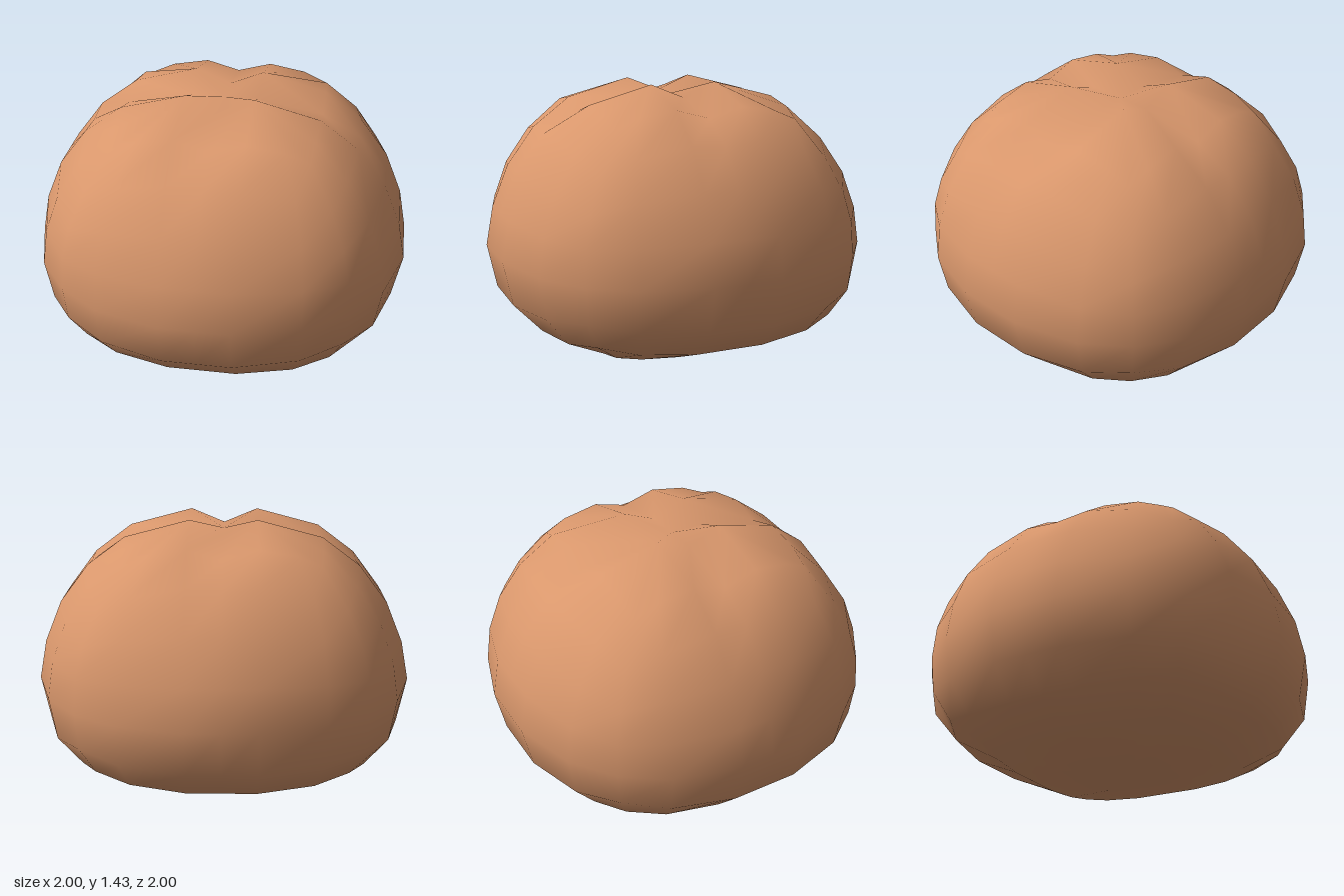
import * as THREE from 'three';
import { mergeVertices } from 'three/addons/utils/BufferGeometryUtils.js';

// Rings from bottom to top: half width and height on the flat sides,
// offset and height on the diagonals, depth of the groove between the lobes
const RINGS = [
  [0.19, 0.0, 0.19, 0.0, 0],
  [0.55, 0.055, 0.5, 0.08, 0],
  [0.8, 0.16, 0.65, 0.21, 0],
  [0.95, 0.32, 0.72, 0.36, 0],
  [1.0, 0.56, 0.735, 0.55, 0],
  [0.96, 0.77, 0.725, 0.73, 0],
  [0.87, 0.99, 0.69, 0.89, 0],
  [0.72, 1.19, 0.62, 1.06, 0.015],
  [0.52, 1.34, 0.5, 1.255, 0.05],
  [0.18, 1.43, 0.18, 1.43, 0.075],
];

// One quarter of a ring, from the middle of one side to the middle of the next
function quarter([w, y, c, cy, dip]) {
  const mx = 0.18 + (c - 0.18) * 0.61;
  const mz = w + (c - w) * 0.38;
  const my = y + (cy - y) * 0.38;
  return [
    [0, y - dip, w], [0.18, y, w], [mx, my, mz],
    [c, cy, c], [mz, my, mx], [w, y, 0.18],
  ];
}

function bunGeometry() {
  const pos = [], index = [], n = 24;
  for (const ring of RINGS) {
    const q = quarter(ring);
    for (let k = 0; k < 4; k++) {
      for (const [px, y, pz] of q) {
        // quarter turns about the vertical axis
        let x = px, z = pz;
        for (let t = 0; t < k; t++) [x, z] = [z, -x];
        pos.push(x, y, z);
      }
    }
  }
  const bottom = pos.length / 3;
  pos.push(0, 0, 0, 0, 1.355, 0);
  const top = bottom + 1, last = (RINGS.length - 1) * n;
  for (let j = 0; j < n; j++) {
    const k = (j + 1) % n;
    for (let i = 0; i < RINGS.length - 1; i++) {
      const a = i * n + j, b = i * n + k;
      index.push(a, b, b + n, a, b + n, a + n);
    }
    index.push(bottom, k, j, top, last + j, last + k);
  }
  const g = new THREE.BufferGeometry();
  g.setAttribute('position', new THREE.Float32BufferAttribute(pos, 3));
  g.setIndex(index);
  const welded = mergeVertices(g, 1e-4);
  welded.computeVertexNormals();
  return welded;
}

export function createModel() {
  const group = new THREE.Group();
  group.name = 'bun';
  const crust = new THREE.MeshStandardMaterial({ color: 0xd9976c });
  crust.name = 'crust';
  // Four-lobed rounded body with a cross groove on top
  const body = new THREE.Mesh(bunGeometry(), crust);
  body.name = 'body';
  group.add(body);
  return group;
}
